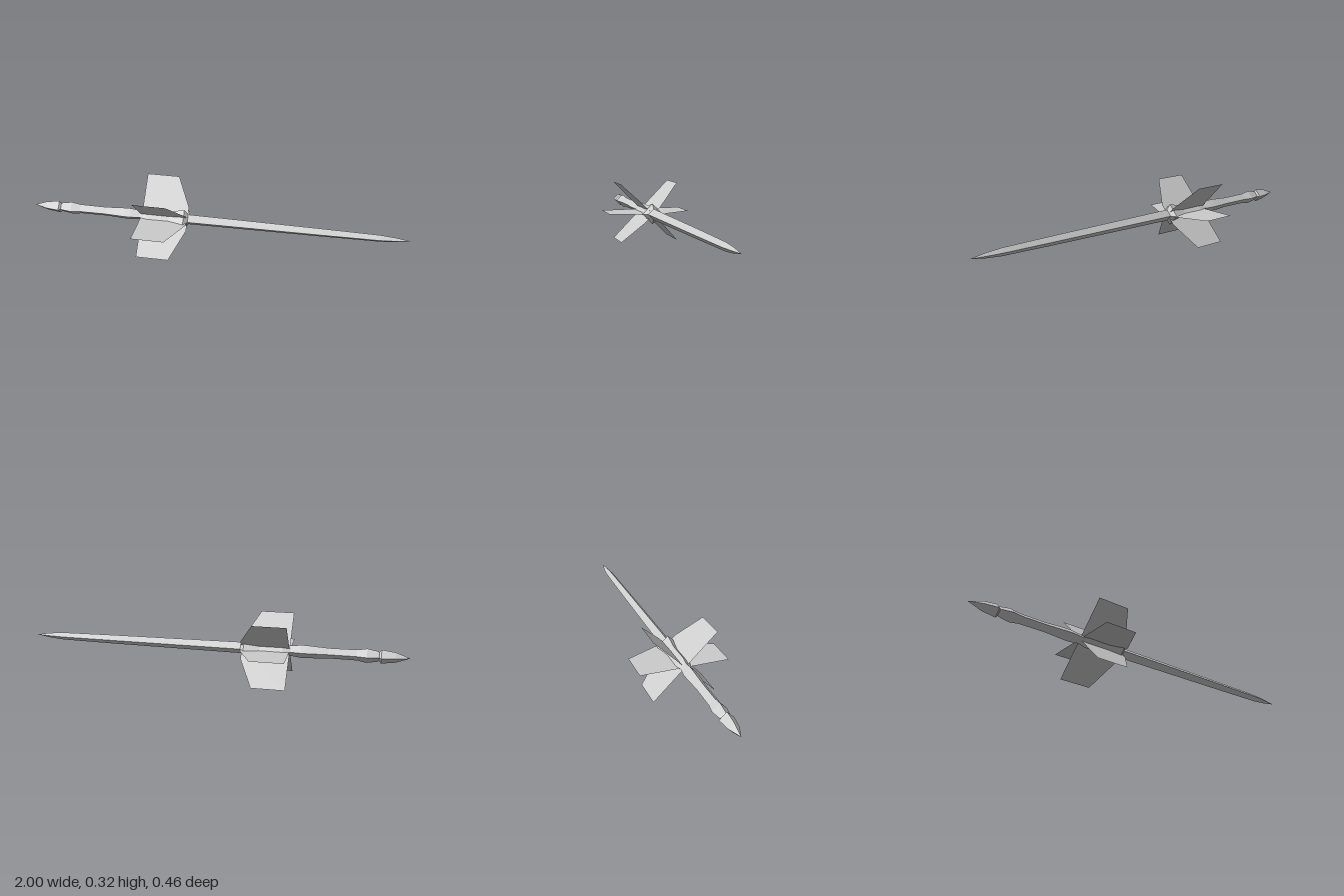
import * as THREE from 'three';

export function createModel() {
  const model = new THREE.Group();
  const grey = new THREE.MeshStandardMaterial({ color: 0xcccccc, flatShading: true, side: THREE.DoubleSide });
  grey.name = 'light grey';
  const axisY = 0.162;

  // Four-sided body section from [position along x, half height] pairs
  function addSection(name, profile) {
    const points = profile.map(([x, r]) => new THREE.Vector2(r, x));
    const geometry = new THREE.LatheGeometry(points, 4);
    geometry.rotateZ(-Math.PI / 2);
    const mesh = new THREE.Mesh(geometry, grey);
    mesh.name = name;
    mesh.position.y = axisY;
    model.add(mesh);
  }

  addSection('tailTip', [[-1, 0], [-0.93, 0.026], [-0.86, 0.036], [-0.85, 0.024]]);
  addSection('grip', [
    [-0.85, 0.024], [-0.84, 0.028], [-0.79, 0.037], [-0.74, 0.028],
    [-0.6, 0.027], [-0.49, 0.034], [-0.46, 0.034], [-0.41, 0.027],
  ]);
  addSection('finHub', [[-0.41, 0.027], [-0.37, 0.038], [-0.25, 0.036], [-0.17, 0.057], [-0.15, 0.03]]);
  addSection('shaft', [[-0.15, 0.03], [0.55, 0.024], [0.84, 0.02], [0.92, 0.013], [1, 0]]);

  // Six flat fins: two horizontal and four on the diagonals
  const outline = [[-0.403, 0], [-0.403, 0.228], [-0.23, 0.228], [-0.155, 0.064], [-0.155, 0]];
  const finShape = new THREE.Shape(outline.map(([x, y]) => new THREE.Vector2(x, y)));
  const finGeometry = new THREE.ShapeGeometry(finShape);
  for (const degrees of [45, 90, 135, 225, 270, 315]) {
    const fin = new THREE.Mesh(finGeometry, grey);
    fin.name = 'fin';
    fin.position.y = axisY;
    fin.rotation.x = THREE.MathUtils.degToRad(degrees);
    model.add(fin);
  }
  return model;
}
